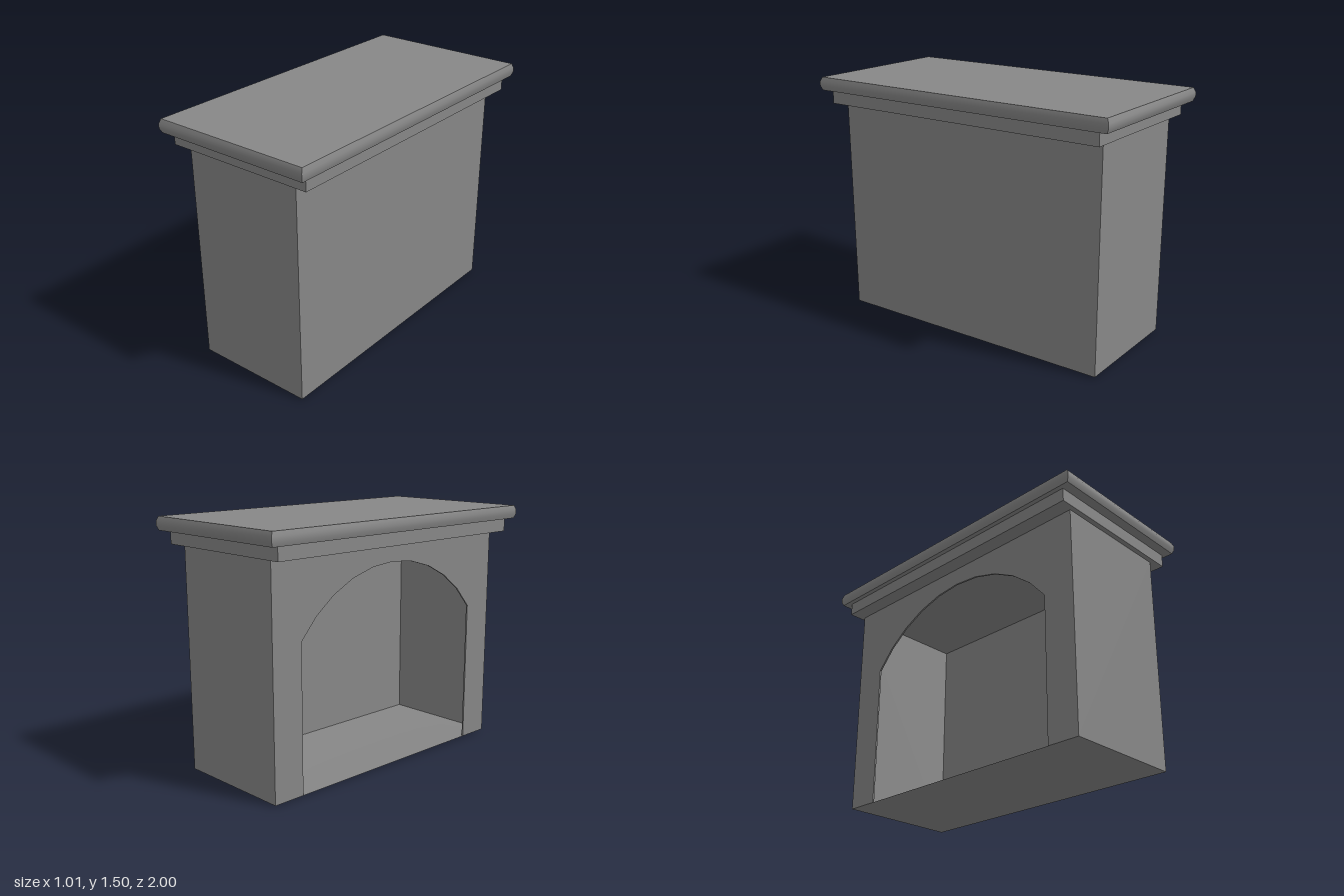
import * as THREE from 'three';

const HALF_W = 0.378, HALF_L = 0.901, BODY_TOP = 1.34, BASE = 0.006;

// Move every vertex of a geometry by a rule, then rebuild its normals
function reshape(geometry, rule) {
  const pos = geometry.attributes.position;
  const v = new THREE.Vector3();
  for (let i = 0; i < pos.count; i++) {
    rule(v.fromBufferAttribute(pos, i));
    pos.setXYZ(i, v.x, v.y, v.z);
  }
  geometry.computeVertexNormals();
  return geometry;
}

// The walls lean in very slightly toward the ground
function taper(v) {
  const k = 1 - v.y / BODY_TOP;
  v.x *= 1 - 0.01 * k;
  v.z *= 1 - 0.005 * k;
}

export function createModel() {
  const group = new THREE.Group();
  const material = new THREE.MeshStandardMaterial({ color: 0x878787, side: THREE.DoubleSide });
  const add = (name, geometry) => {
    const mesh = new THREE.Mesh(geometry, material);
    mesh.name = name;
    group.add(mesh);
  };

  // Thin shell: one long wall and both end walls (box faces +x, +z, -z)
  const height = BODY_TOP - BASE;
  const shell = new THREE.BoxGeometry(HALF_W * 2, height, HALF_L * 2);
  const index = Array.from(shell.index.array);
  shell.setIndex([...index.slice(0, 6), ...index.slice(24, 36)]);
  shell.clearGroups();
  shell.translate(0, BASE + height / 2, 0);
  add('solidWalls', reshape(shell, taper));

  // Long wall whose hearth opening is topped by a shallow circular arc
  const openHalf = 0.7, spring = 0.88, radius = 0.868, thickness = 0.01;
  const halfAngle = Math.asin(openHalf / radius);
  const centreY = spring - radius * Math.cos(halfAngle);
  const outline = new THREE.Shape();
  outline.moveTo(-HALF_L, BASE);
  outline.lineTo(-openHalf, BASE);
  outline.lineTo(-openHalf, spring);
  outline.absarc(0, centreY, radius, Math.PI / 2 + halfAngle, Math.PI / 2 - halfAngle, true);
  outline.lineTo(openHalf, BASE);
  outline.lineTo(HALF_L, BASE);
  outline.lineTo(HALF_L, BODY_TOP);
  outline.lineTo(-HALF_L, BODY_TOP);
  outline.closePath();
  const arch = new THREE.ExtrudeGeometry(outline, { depth: thickness, bevelEnabled: false, curveSegments: 5 });
  arch.rotateY(-Math.PI / 2).translate(thickness - HALF_W, 0, 0);
  add('archedWall', reshape(arch, taper));

  // Floor with a shallow sag in the middle
  const floor = new THREE.PlaneGeometry(HALF_W * 2, HALF_L * 2, 6, 12).rotateX(-Math.PI / 2);
  add('floor', reshape(floor, (v) => {
    const sag = Math.cos((v.x / HALF_W) * Math.PI / 2) * Math.cos((v.z / HALF_L) * Math.PI / 2);
    v.y = BASE * (1 - sag);
    taper(v);
  }));

  // Stepped moulding under the mantel
  add('cornice', new THREE.BoxGeometry(0.94, 0.08, 1.86).translate(0, 1.38, 0));

  // Mantel slab with softly chamfered edges
  const mantel = new THREE.BoxGeometry(1.016, 0.08, 2, 1, 3, 1);
  reshape(mantel, (v) => {
    const inset = 0.014 * (v.y / 0.04) ** 2;
    v.x -= Math.sign(v.x) * inset * 0.7;
    v.z -= Math.sign(v.z) * inset;
  });
  add('mantelSlab', mantel.translate(0, 1.46, 0));

  return group;
}
